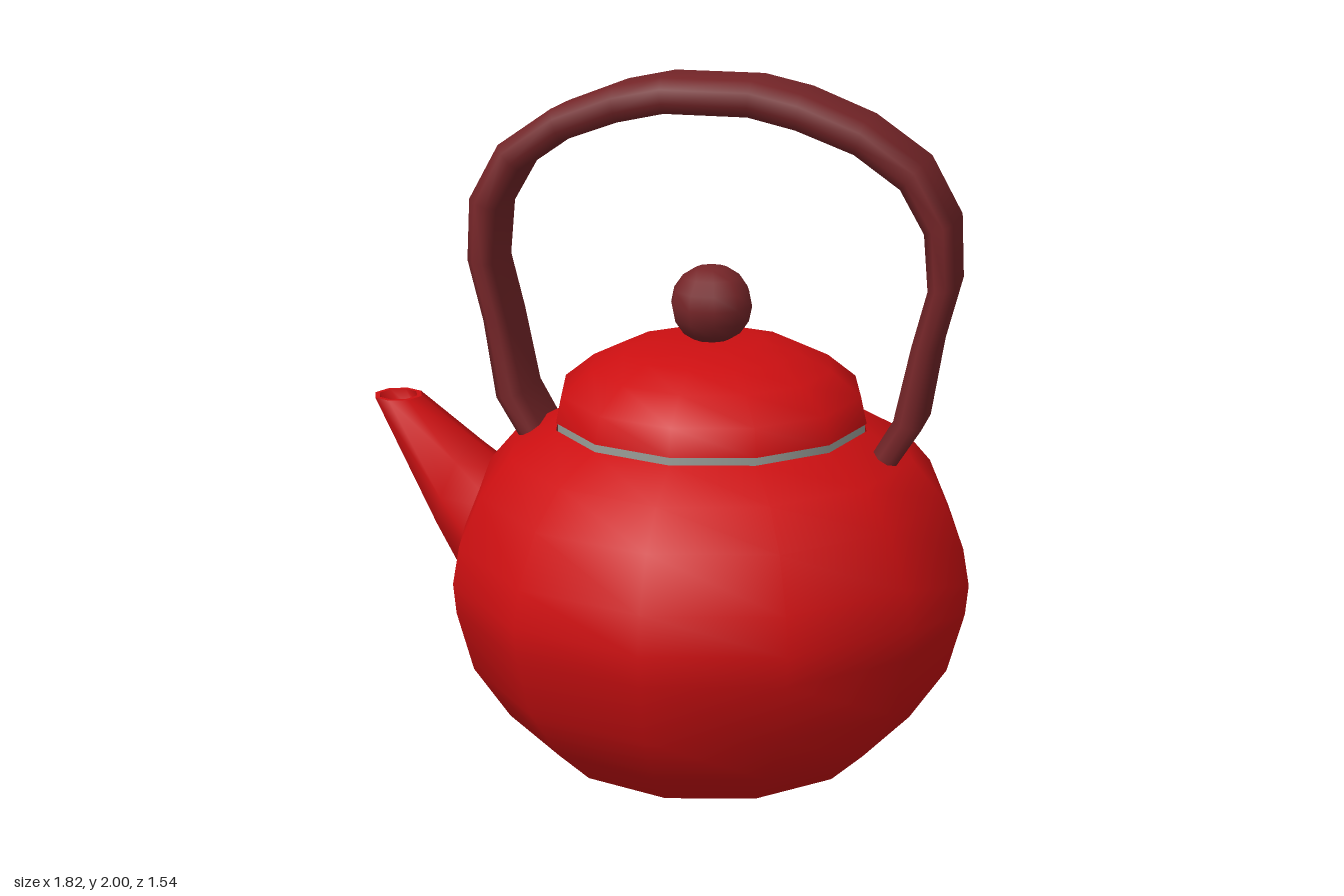
import * as THREE from 'three';

const CX = 0.14; // axis of the pot
const SIDES = 12;

const material = (name, color, side = THREE.FrontSide) => {
  const m = new THREE.MeshStandardMaterial({ color, side });
  m.name = name;
  return m;
};

// Skin between rings of equal point count, wound anticlockwise about the direction of travel
function loft(rings) {
  const n = rings[0].length;
  const index = [];
  for (let i = 0; i < rings.length - 1; i++) {
    for (let j = 0; j < n; j++) {
      const k = (j + 1) % n;
      const a = i * n + j, b = i * n + k, c = a + n, d = b + n;
      index.push(a, b, c, b, d, c);
    }
  }
  const g = new THREE.BufferGeometry().setFromPoints(rings.flat());
  g.setIndex(index);
  g.computeVertexNormals();
  return g;
}

const lathe = (profile) =>
  new THREE.LatheGeometry(profile.map(([r, y]) => new THREE.Vector2(r, y)), SIDES);

export function createModel() {
  const red = material('red enamel', 0xcc0f11, THREE.DoubleSide);
  const maroon = material('maroon grip', 0x752528);
  const grey = material('grey metal', 0x9a9e98);
  const dark = material('dark base', 0x4c555d);

  const group = new THREE.Group();
  const add = (name, geometry, mat, x = 0, y = 0) => {
    const mesh = new THREE.Mesh(geometry, mat);
    mesh.name = name;
    mesh.position.set(x, y, 0);
    group.add(mesh);
    return mesh;
  };

  // Pot
  add('body', lathe([
    [0.44, 0], [0.495, 0.02], [0.61, 0.13], [0.715, 0.29], [0.762, 0.47], [0.77, 0.56],
    [0.75, 0.67], [0.685, 0.82], [0.595, 0.925], [0.46, 1.0],
  ]), red, CX);
  add('base', new THREE.CircleGeometry(0.44, SIDES).rotateX(Math.PI / 2), dark, CX);

  // Lid with its metal seam and knob
  add('lidRing', new THREE.CylinderGeometry(0.455, 0.455, 0.03, SIDES), grey, CX, 1.01);
  add('lid', lathe([
    [0.46, 1.022], [0.442, 1.1], [0.355, 1.17], [0.26, 1.215], [0.155, 1.243], [0, 1.245],
  ]), red, CX);
  add('knob', new THREE.SphereGeometry(0.12, 10, 8), maroon, CX, 1.345).scale.y = 0.96;

  // Handle: outer and inner edge of the left half, mirrored about the pot axis
  const half = [
    [-0.41, 0.91, -0.33, 0.92], [-0.49, 1.04, -0.41, 1.06], [-0.525, 1.27, -0.455, 1.28],
    [-0.57, 1.45, -0.495, 1.44], [-0.56, 1.63, -0.48, 1.6], [-0.47, 1.79, -0.41, 1.72],
    [-0.31, 1.9, -0.28, 1.81], [-0.13, 1.97, -0.115, 1.87], [0.01, 2.0, 0.02, 1.9],
  ];
  const mirrored = half.map(([ox, oy, ix, iy]) => [2 * CX - ox, oy, 2 * CX - ix, iy]).reverse();
  const section = [
    [1, 0.085], [0.4, 0.11], [-0.4, 0.11], [-1, 0.085],
    [-1, -0.085], [-0.4, -0.11], [0.4, -0.11], [1, -0.085],
  ];
  const handleRings = [...half, ...mirrored].map(([ox, oy, ix, iy]) =>
    section.map(([a, b]) => new THREE.Vector3(
      (ox + ix) / 2 + a * (ox - ix) / 2, (oy + iy) / 2 + a * (oy - iy) / 2, b)));
  add('handle', loft(handleRings), maroon);

  // Spout: each ring is given by its lower point, upper point and half width
  const spoutRing = ([lx, ly, ux, uy, w]) => Array.from({ length: 8 }, (_, i) => {
    const t = (i / 8) * Math.PI * 2, c = Math.cos(t);
    return new THREE.Vector3(
      (lx + ux) / 2 + c * (ux - lx) / 2, (ly + uy) / 2 + c * (uy - ly) / 2, -w * Math.sin(t));
  });
  const tip = [-0.91, 1.0, -0.76, 1.0, 0.075];
  const lip = [-0.895, 1.0, -0.775, 1.0, 0.06];
  add('spout', loft([
    [-0.58, 0.42, -0.45, 0.77, 0.22], [-0.69, 0.6, -0.6, 0.88, 0.165], tip,
  ].map(spoutRing)), red);
  add('spoutLip', loft([tip, lip].map(spoutRing)), red);
  add('spoutBore', loft([
    lip, [-0.84, 0.91, -0.755, 0.95, 0.05], [-0.8, 0.93, -0.8, 0.93, 0],
  ].map(spoutRing)), red);

  return group;
}
